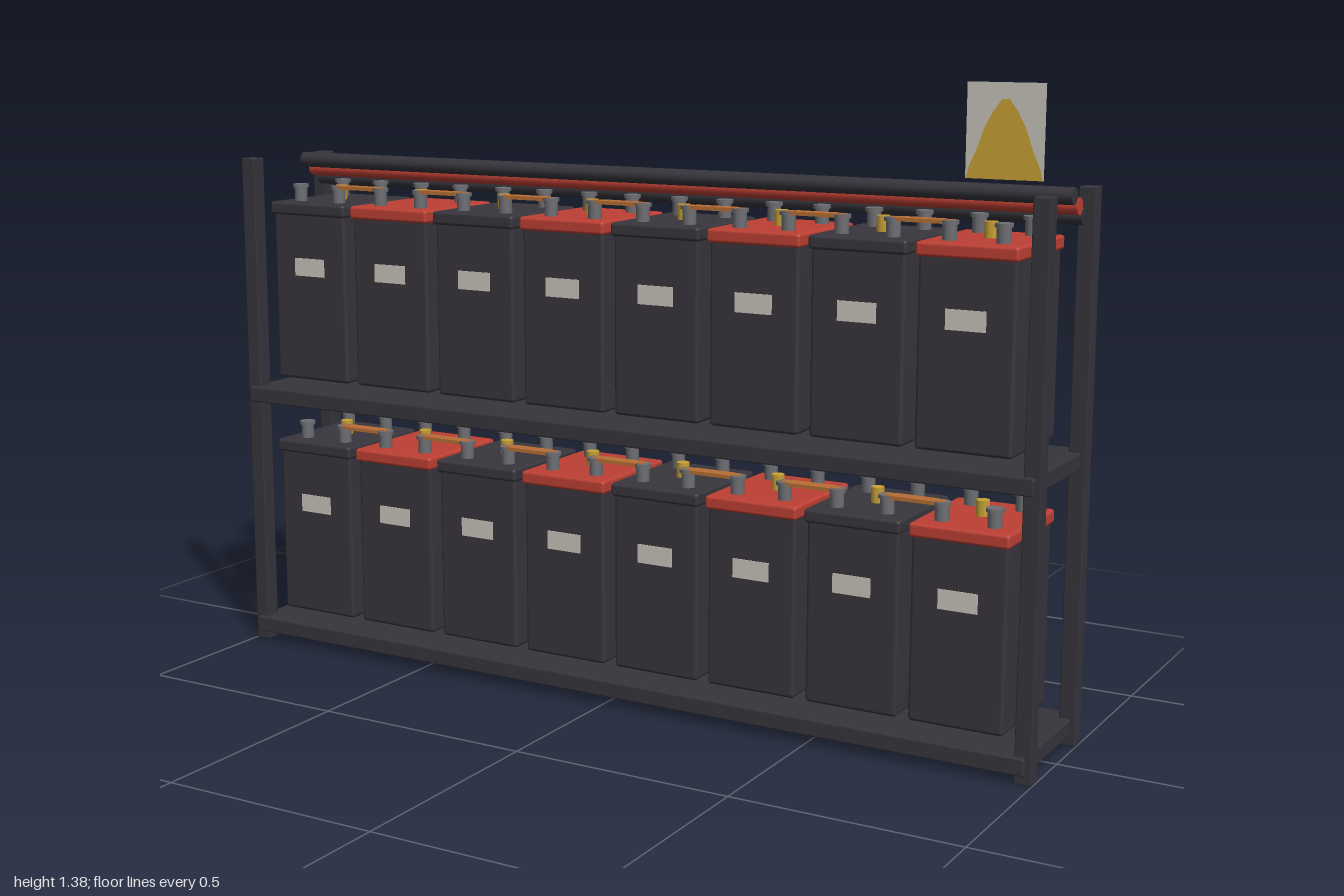
import * as THREE from 'three';
import { RoundedBoxGeometry } from 'three/addons/geometries/RoundedBoxGeometry.js';

const mat = (name, color) => {
  const m = new THREE.MeshStandardMaterial({ color });
  m.name = name;
  return m;
};

export function createModel() {
  const frameDark = mat('frame charcoal', 0x36353c);
  const caseDark = mat('case charcoal', 0x38363d);
  const red = mat('red', 0xbe4034);
  const steel = mat('terminal grey', 0x6e6f74);
  const brass = mat('brass yellow', 0xc9a235);
  const copper = mat('copper', 0xb86e34);
  const cream = mat('label cream', 0xc8c5ba);
  brass.side = cream.side = THREE.DoubleSide;

  const root = new THREE.Group();
  root.name = 'batteryRack';
  const add = (parent, name, geo, material, x = 0, y = 0, z = 0) => {
    const m = new THREE.Mesh(geo, material);
    m.name = name;
    m.position.set(x, y, z);
    parent.add(m);
    return m;
  };

  // Frame: four posts and two shelves
  const postGeo = new RoundedBoxGeometry(0.037, 1.178, 0.037, 1, 0.003);
  for (const x of [-0.98, 0.98])
    for (const z of [-0.133, 0.133]) add(root, 'post', postGeo, frameDark, x, 0.589, z);
  const shelfGeo = new RoundedBoxGeometry(1.974, 0.037, 0.326, 1, 0.004);
  for (const y of [0.04, 0.613]) add(root, 'shelf', shelfGeo, frameDark, 0, y, 0);

  // Shared battery parts
  const caseGeo = new RoundedBoxGeometry(0.208, 0.4, 0.25, 2, 0.008);
  const lidGeo = new RoundedBoxGeometry(0.217, 0.03, 0.266, 2, 0.007);
  const labelGeo = new THREE.BoxGeometry(0.086, 0.042, 0.004);
  const terminalGeo = new THREE.CylinderGeometry(0.015, 0.015, 0.042, 12);
  const capGeo = new THREE.CylinderGeometry(0.019, 0.019, 0.008, 12);
  const ventGeo = new THREE.CylinderGeometry(0.015, 0.015, 0.035, 8);
  const barGeo = new THREE.BoxGeometry(0.1, 0.008, 0.032);
  const tabGeo = new THREE.BoxGeometry(0.135, 0.004, 0.018);

  const count = 8, pitch = 0.235;
  for (const base of [0.082, 0.655]) {
    for (let i = 0; i < count; i++) {
      const b = new THREE.Group();
      b.name = 'battery';
      b.position.set((i - (count - 1) / 2) * pitch, base, 0);
      root.add(b);
      add(b, 'case', caseGeo, caseDark, 0, 0.2, 0);
      add(b, 'lid', lidGeo, i % 2 ? red : caseDark, 0, 0.407, 0);
      add(b, 'label', labelGeo, cream, 0, 0.27, 0.125);
      add(b, 'vent', ventGeo, brass, 0, 0.438, 0);
      for (const x of [-0.057, 0.057])
        for (const z of [-0.08, 0.08]) {
          add(b, 'terminal', terminalGeo, steel, x, 0.441, z);
          add(b, 'terminalCap', capGeo, steel, x, 0.458, z);
        }
      // Copper link to the next battery
      if (i < count - 1) {
        add(b, 'linkBar', barGeo, copper, pitch / 2, 0.459, 0.08);
        add(b, 'linkTab', tabGeo, copper, pitch / 2, 0.461, 0.08);
      }
    }
  }

  // Cables along the top at the back
  const cableGeo = new THREE.CylinderGeometry(0.018, 0.018, 1.95, 16).rotateZ(Math.PI / 2);
  add(root, 'frontCable', cableGeo, frameDark, 0, 1.163, -0.054);
  add(root, 'middleCable', cableGeo, red, 0, 1.14, -0.087);
  add(root, 'rearCable', cableGeo, frameDark, 0, 1.117, -0.118);

  // Warning sign: thin plate with a peaked emblem on both faces
  const sign = new THREE.Group();
  sign.name = 'warningSign';
  sign.position.set(0.785, 1.28, -0.162);
  root.add(sign);
  add(sign, 'signPlate', new THREE.PlaneGeometry(0.172, 0.2), cream);
  const half = [[0.084, -0.1], [0.078, -0.075], [0.062, -0.04], [0.044, 0.01], [0.026, 0.042], [0.008, 0.066]];
  const outline = [...half, ...half.map(([x, y]) => [-x, y]).reverse()];
  const emblemGeo = new THREE.ShapeGeometry(new THREE.Shape(outline.map(([x, y]) => new THREE.Vector2(x, y))));
  for (const z of [-0.002, 0.002]) add(sign, 'signEmblem', emblemGeo, brass, 0, 0, z);

  return root;
}
